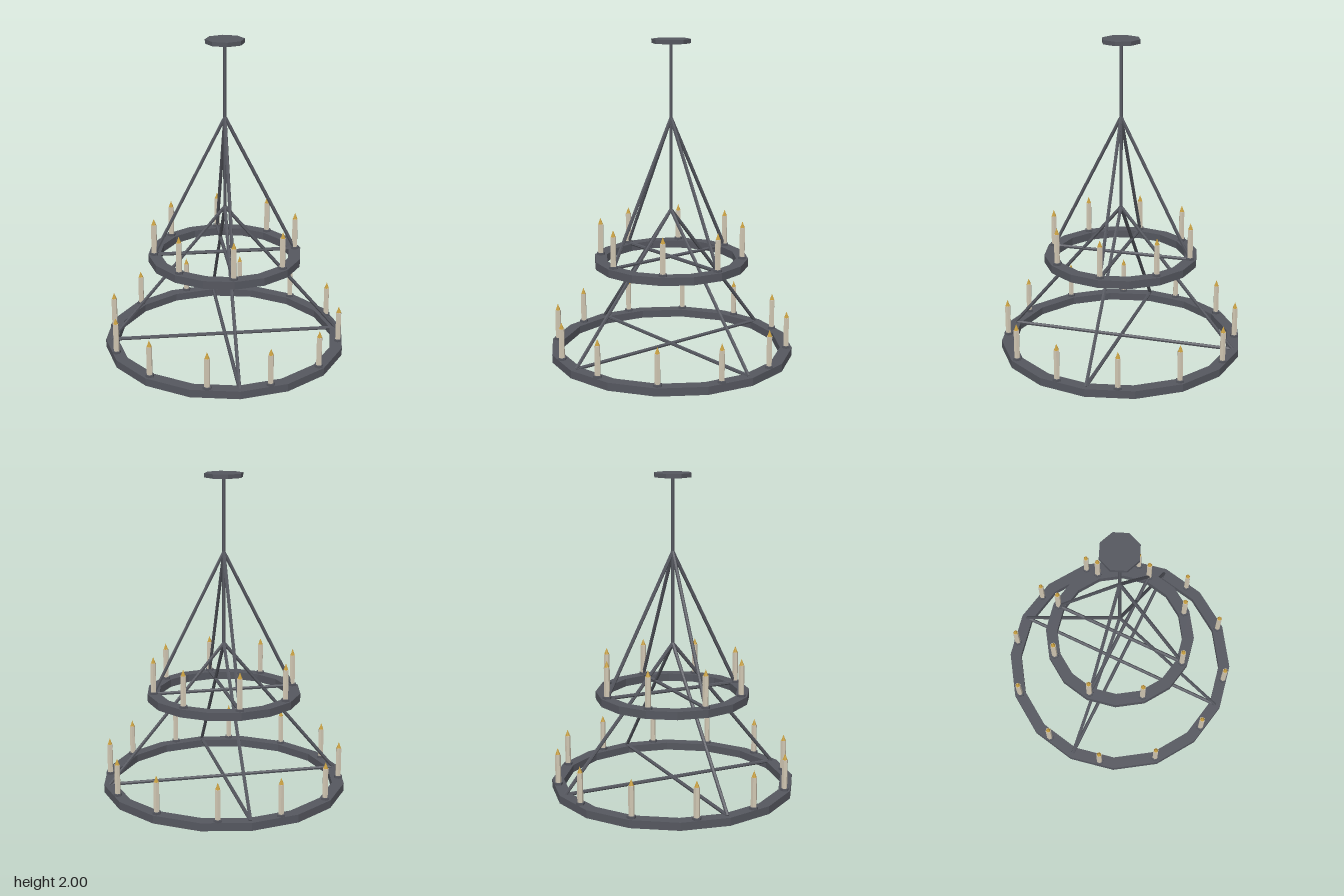
import * as THREE from 'three';

export function createModel() {
  const model = new THREE.Group();
  const mat = (name, color) => {
    const m = new THREE.MeshStandardMaterial({ color, flatShading: true });
    m.name = name;
    return m;
  };
  const iron = mat('dark iron', 0x55575f);
  const wax = mat('candle wax', 0xd2c8b4);
  const gold = mat('flame gold', 0xc9a040);

  const add = (parent, name, geometry, material, x = 0, y = 0, z = 0) => {
    const mesh = new THREE.Mesh(geometry, material);
    mesh.name = name;
    mesh.position.set(x, y, z);
    parent.add(mesh);
    return mesh;
  };

  // Straight six-sided bar between two points
  const UP = new THREE.Vector3(0, 1, 0);
  const bar = (parent, name, a, b, r) => {
    const dir = b.clone().sub(a);
    const mid = a.clone().add(b).multiplyScalar(0.5);
    const mesh = add(parent, name, new THREE.CylinderGeometry(r, r, dir.length(), 6), iron, mid.x, mid.y, mid.z);
    mesh.quaternion.setFromUnitVectors(UP, dir.normalize());
  };

  // Shared candle shapes, with a corner pointing along x
  const hex = (top, bottom, h) => new THREE.CylinderGeometry(top, bottom, h, 6).rotateY(Math.PI / 2).translate(0, h / 2, 0);
  const cupGeo = hex(0.028, 0.028, 0.014);
  const candleGeo = hex(0.0185, 0.0185, 0.2);
  const flameGeo = hex(0, 0.0155, 0.04);

  // One tier: ring, crossed spokes, slanted hangers and candles
  const tier = (name, y, radius, apex, candles) => {
    const group = new THREE.Group();
    group.name = name;
    model.add(group);
    const h = 0.05, inner = radius - 0.038, outer = radius + 0.038;
    const profile = [[inner, 0], [outer, 0], [outer, h], [inner, h], [inner, 0]]
      .map(([r, py]) => new THREE.Vector2(r, py));
    add(group, 'ring', new THREE.LatheGeometry(profile, 16), iron, 0, y, 0);

    const foot = (i) => {
      const a = Math.PI / 4 + i * Math.PI / 2;
      return new THREE.Vector3(Math.cos(a) * radius, y + h, Math.sin(a) * radius);
    };
    for (let i = 0; i < 4; i++) bar(group, 'hanger', new THREE.Vector3(0, apex, 0), foot(i), 0.0115);
    for (let i = 0; i < 2; i++) bar(group, 'spoke', foot(i), foot(i + 2), 0.0115);

    for (let i = 0; i < candles; i++) {
      const a = i / candles * Math.PI * 2;
      const light = new THREE.Group();
      light.name = 'candleLight';
      light.position.set(Math.cos(a) * radius, y + h, Math.sin(a) * radius);
      group.add(light);
      add(light, 'cup', cupGeo, iron);
      add(light, 'candle', candleGeo, wax);
      add(light, 'flame', flameGeo, gold, 0, 0.2, 0);
    }
  };
  tier('lowerTier', 0, 0.737, 0.935, 12);
  tier('upperTier', 0.58, 0.45, 1.515, 8);

  // Ceiling plate and central stem
  add(model, 'ceilingPlate', new THREE.CylinderGeometry(0.121, 0.121, 0.026, 8), iron, 0, 1.987, 0);
  bar(model, 'stem', new THREE.Vector3(0, 0.92, 0), new THREE.Vector3(0, 1.98, 0), 0.0105);

  return model;
}
